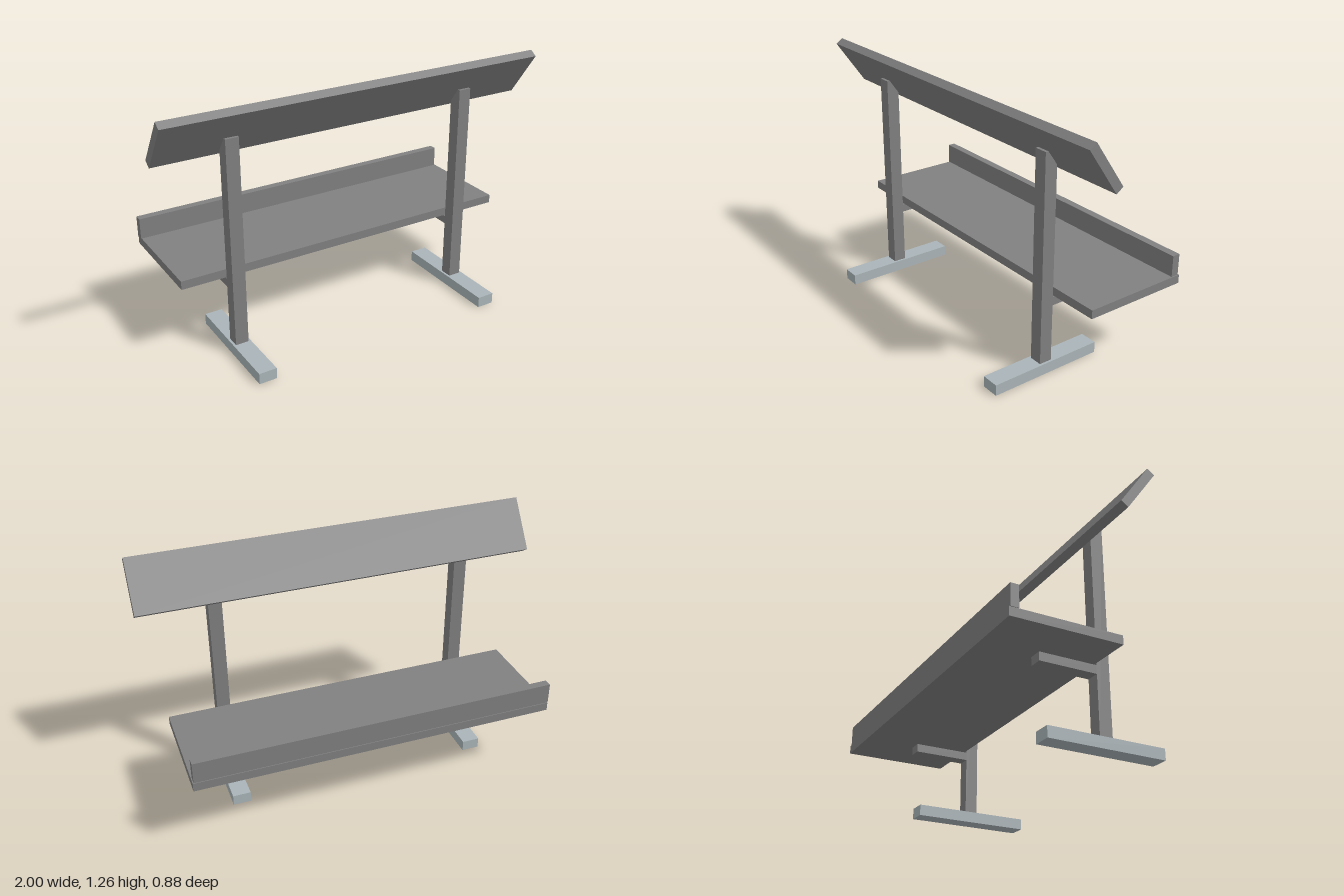
import * as THREE from 'three';

export function createModel() {
  const bench = new THREE.Group();
  bench.name = 'bench';

  const grey = new THREE.MeshStandardMaterial({ color: 0x808080 });
  grey.name = 'grey';
  const paleSteel = new THREE.MeshStandardMaterial({ color: 0xaab4b8 });
  paleSteel.name = 'pale steel';

  // Box given by its [min, max] extent along each axis
  function addBox(parent, name, material, [x0, x1], [y0, y1], [z0, z1]) {
    const mesh = new THREE.Mesh(new THREE.BoxGeometry(x1 - x0, y1 - y0, z1 - z0), material);
    mesh.position.set((x0 + x1) / 2, (y0 + y1) / 2, (z0 + z1) / 2);
    mesh.name = name;
    parent.add(mesh);
    return mesh;
  }

  // Two stands: foot, post and the bracket carrying the seat
  for (const [side, x] of [['right', -0.647], ['left', 0.622]]) {
    const stand = new THREE.Group();
    stand.name = side + 'Stand';
    stand.position.x = x;
    addBox(stand, 'foot', paleSteel, [-0.045, 0.045], [0, 0.055], [-0.153, 0.441]);
    addBox(stand, 'post', grey, [-0.033, 0.033], [0.055, 1.1], [0.112, 0.177]);
    addBox(stand, 'seatBracket', grey, [-0.033, 0.033], [0.344, 0.386], [-0.177, 0.112]);
    bench.add(stand);
  }

  // Seat board with an upright lip along its rear edge
  addBox(bench, 'seat', grey, [-0.9, 0.9], [0.386, 0.429], [-0.441, 0.1]);
  addBox(bench, 'seatLip', grey, [-0.903, 0.895], [0.429, 0.535], [-0.437, -0.397]);

  // Wide board tilted forward across the post tops
  const board = new THREE.Mesh(new THREE.BoxGeometry(2, 0.272, 0.043), grey);
  board.name = 'tiltedBoard';
  board.position.set(0, 1.132, 0.158);
  board.rotation.x = 0.612;
  bench.add(board);

  return bench;
}
